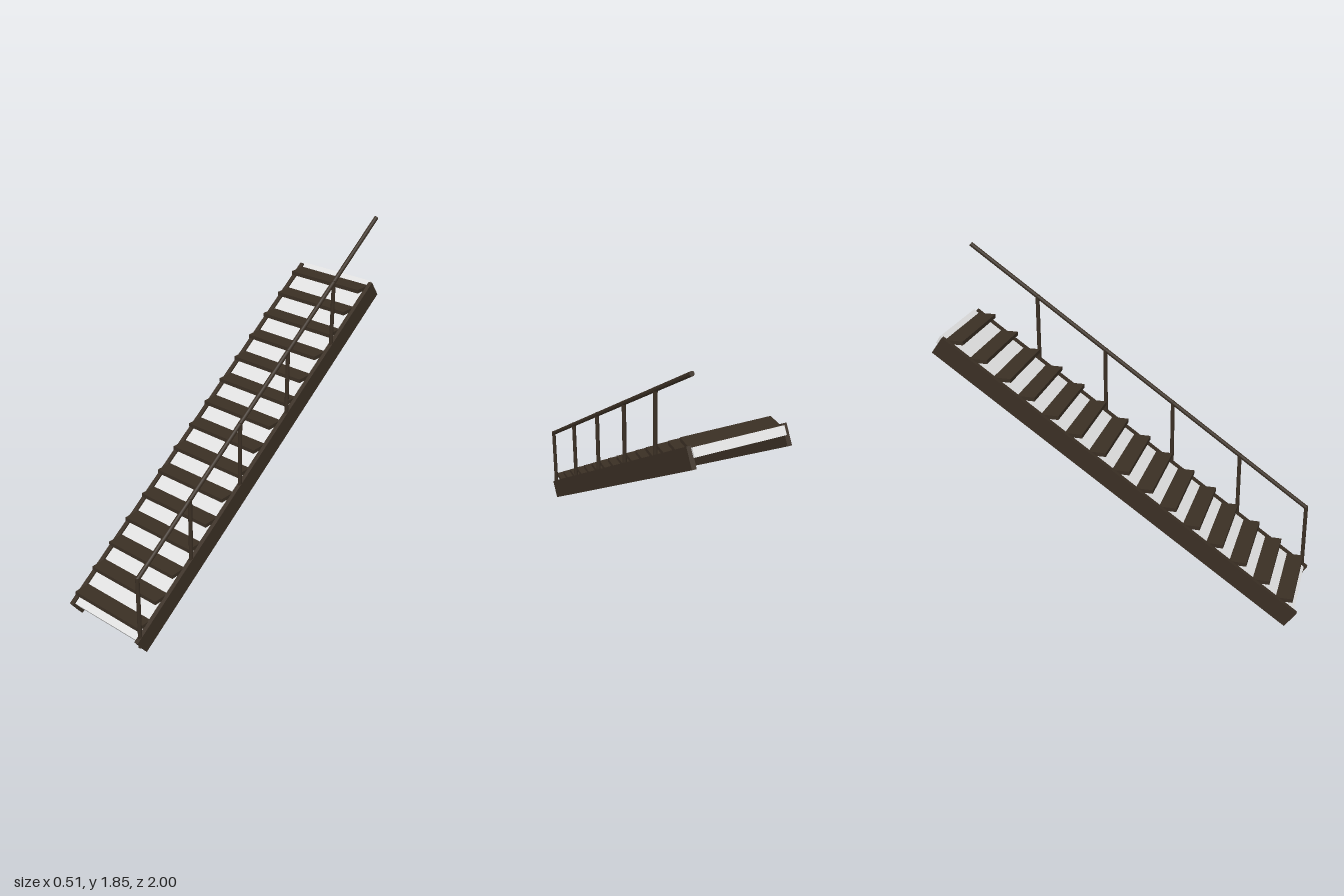
import * as THREE from 'three';

export function createModel() {
  const group = new THREE.Group();
  group.name = 'staircase';
  const wood = new THREE.MeshStandardMaterial({ color: 0x3a2f24 });
  wood.name = 'dark brown';
  const pale = new THREE.MeshStandardMaterial({ color: 0xdedede });
  pale.name = 'pale grey';

  const slope = Math.atan2(1.38, 1.94);
  const length = 2.381;
  const sideX = 0.243;

  const add = (name, geometry, material, x, y, z, tilt = 0) => {
    const mesh = new THREE.Mesh(geometry, material);
    mesh.name = name;
    mesh.position.set(x, y, z);
    mesh.rotation.x = tilt;
    group.add(mesh);
    return mesh;
  };

  // Sloping side beams
  const beam = new THREE.BoxGeometry(0.024, 0.108, length);
  add('leftStringer', beam, wood, sideX, 0.735, 0, slope);
  add('rightStringer', beam, wood, -sideX, 0.735, 0, slope);

  // Sloping slab between the beams
  add('slab', new THREE.BoxGeometry(0.468, 0.047, length), pale, 0, 0.7605, 0, slope);

  // Treads
  const tread = new THREE.BoxGeometry(0.468, 0.021, 0.104);
  for (let i = 0; i < 15; i++) {
    add('tread', tread, wood, 0, 0.151 + i * 0.0921, 0.922 - i * 0.1289);
  }

  // Handrail on the left side
  const railStart = new THREE.Vector3(sideX, 0.467, 0.972);
  const railEnd = new THREE.Vector3(sideX, 1.842, -0.957);
  const span = railEnd.clone().sub(railStart);
  const middle = railStart.clone().add(railEnd).multiplyScalar(0.5);
  add('handrail', new THREE.CylinderGeometry(0.012, 0.012, span.length(), 16), wood,
    middle.x, middle.y, middle.z, Math.atan2(span.z, span.y));

  // Rail posts, each standing in the beam
  for (let i = 0; i < 5; i++) {
    const z = 0.97 - i * 0.3875;
    const top = railStart.y + (railStart.z - z) * 0.7128 + 0.008;
    const bottom = 0.735 - z * 0.711;
    add('railPost', new THREE.CylinderGeometry(0.011, 0.011, top - bottom, 16), wood,
      sideX, (top + bottom) / 2, z);
  }
  return group;
}
